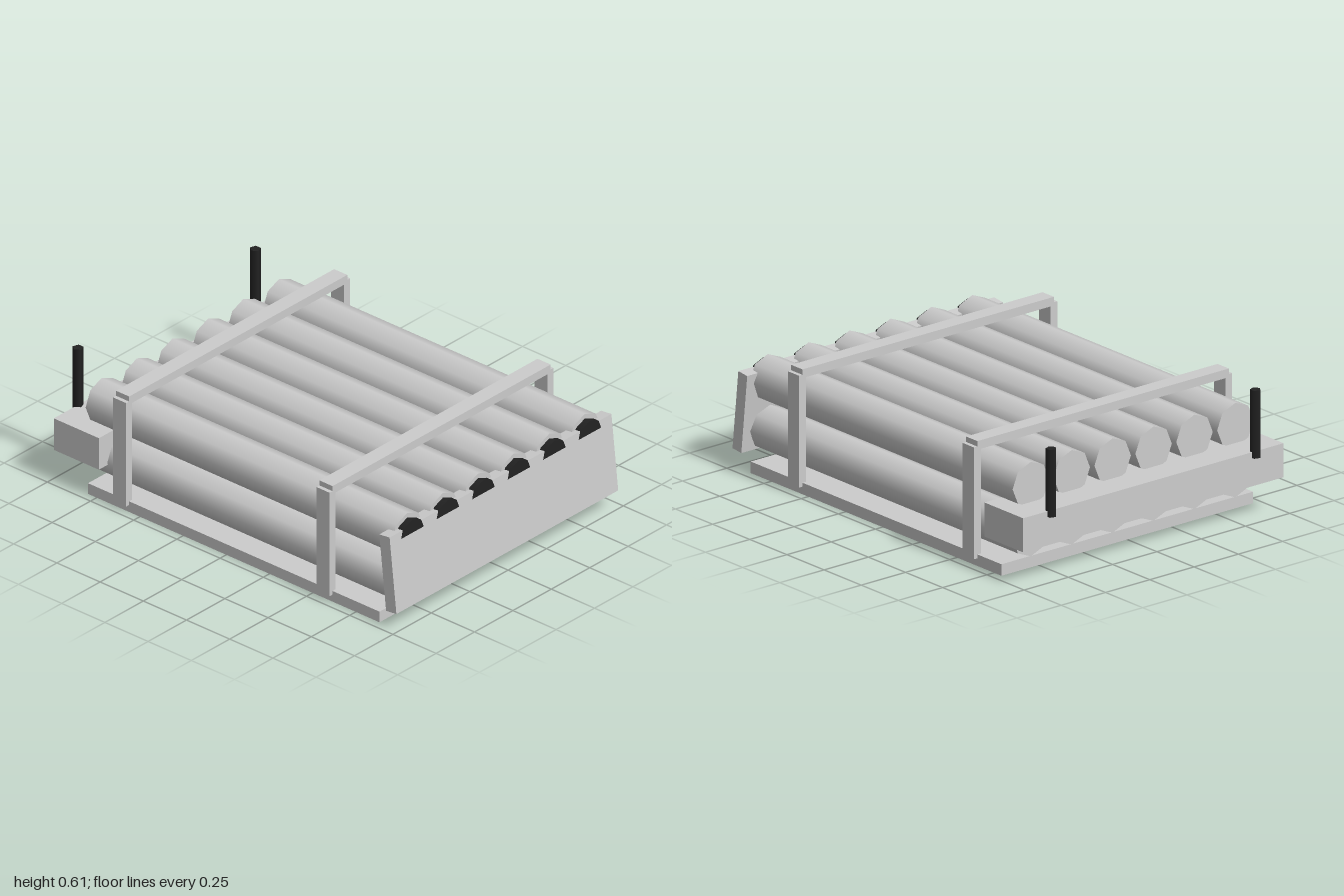
import * as THREE from 'three';

const grey = new THREE.MeshStandardMaterial({ color: 0xcccccc });
grey.name = 'light grey';
const black = new THREE.MeshStandardMaterial({ color: 0x222222 });
black.name = 'black';

export function createModel() {
  const model = new THREE.Group();
  model.name = 'tubeRack';

  const add = (name, geometry, material, x, y, z, parent = model) => {
    const mesh = new THREE.Mesh(geometry, material);
    mesh.name = name;
    mesh.position.set(x, y, z);
    parent.add(mesh);
    return mesh;
  };
  // Box given by its limits on each axis
  const box = (name, [x0, x1], [y0, y1], [z0, z1], parent) =>
    add(name, new THREE.BoxGeometry(x1 - x0, y1 - y0, z1 - z0), grey,
      (x0 + x1) / 2, (y0 + y1) / 2, (z0 + z1) / 2, parent);

  // Base plate and rear cross block
  box('basePlate', [-0.8, 0.887], [0, 0.053], [-0.71, 0.71]);
  box('rearBlock', [-0.976, -0.715], [0.163, 0.32], [-0.735, 0.735]);

  // Two layers of six eight-sided tubes, each with a dark end plug
  const tube = new THREE.CylinderGeometry(0.103, 0.103, 1.77, 8).rotateZ(Math.PI / 2);
  const plug = new THREE.CylinderGeometry(0.08, 0.08, 0.06, 8).rotateZ(Math.PI / 2);
  for (const y of [0.173, 0.402]) {
    for (let i = 0; i < 6; i++) {
      const z = (i - 2.5) * 0.231;
      add('tube', tube, grey, 0.045, y, z);
      add('tubePlug', plug, black, 0.93, y, z);
    }
  }

  // Strap frames over the tubes
  for (const x of [-0.6, 0.577]) {
    const frame = new THREE.Group();
    frame.name = 'strapFrame';
    model.add(frame);
    const width = [x - 0.038, x + 0.038];
    box('strapTop', width, [0.535, 0.575], [-0.71, 0.71], frame);
    box('strapSideFront', width, [0.035, 0.55], [0.69, 0.729], frame);
    box('strapSideBack', width, [0.035, 0.55], [-0.729, -0.69], frame);
  }

  // Tilted end panel
  const panel = add('endPanel', new THREE.BoxGeometry(0.06, 0.368, 1.444), grey, 0.946, 0.267, 0);
  panel.rotation.z = 0.107;

  // Five-sided posts on the rear block
  const post = new THREE.CylinderGeometry(0.025, 0.025, 0.312, 5);
  for (const z of [-0.577, 0.577]) add('post', post, black, -0.976, 0.45, z);

  return model;
}
